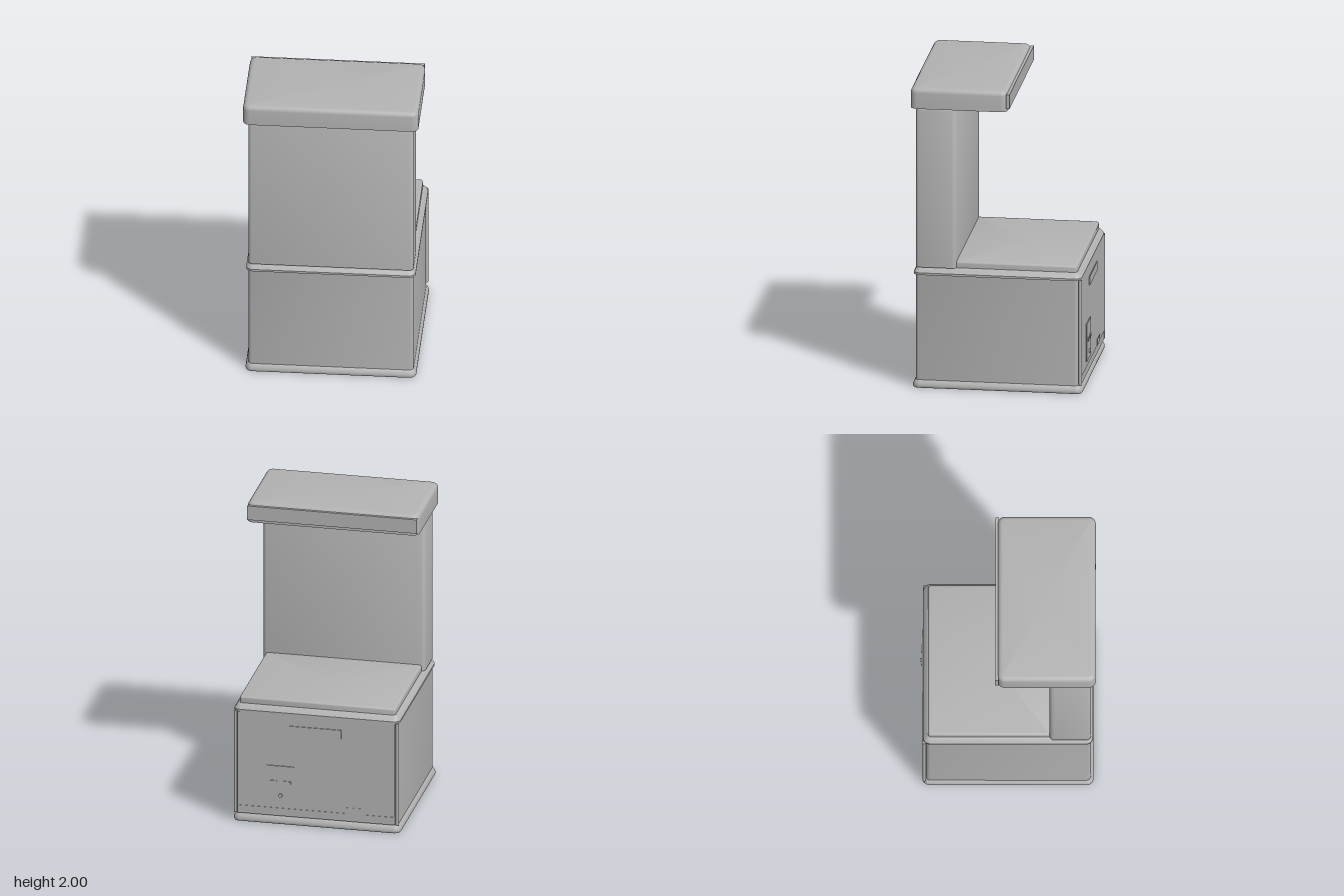
import * as THREE from 'three';
import { toCreasedNormals } from 'three/addons/utils/BufferGeometryUtils.js';

const grey = new THREE.MeshStandardMaterial({ color: 0xb3b3b3 });
grey.name = 'grey';

// Rounded rectangle outline, counter-clockwise seen from above
function outline(x, z0, z1, r, inset) {
  const hx = x - inset, hz = (z1 - z0) / 2 - inset, cz = (z0 + z1) / 2;
  const rr = Math.max(r - inset, 0.003), pts = [], n = 5;
  [[1, 1], [1, -1], [-1, -1], [-1, 1]].forEach(([sx, sz], q) => {
    for (let i = 0; i <= n; i++) {
      const a = Math.PI / 2 - (q + i / n) * Math.PI / 2;
      pts.push([sx * (hx - rr) + rr * Math.cos(a), cz + sz * (hz - rr) + rr * Math.sin(a)]);
    }
  });
  return pts;
}

// Block built from stacked outlines; profile is a list of [y, inset]
function block(x, z0, z1, r, profile) {
  const rings = profile.map(([y, inset]) => outline(x, z0, z1, r, inset).map(([px, pz]) => [px, y, pz]));
  const n = rings[0].length, pos = [], cz = (z0 + z1) / 2;
  const tri = (...c) => c.forEach(p => pos.push(...p));
  const last = rings.length - 1;
  for (let i = 0; i < n; i++) {
    const j = (i + 1) % n;
    for (let k = 0; k < last; k++) {
      const a = rings[k][i], b = rings[k][j], c = rings[k + 1][j], d = rings[k + 1][i];
      tri(a, b, c);
      tri(a, c, d);
    }
    tri([0, profile[last][0], cz], rings[last][i], rings[last][j]);
    tri([0, profile[0][0], cz], rings[0][j], rings[0][i]);
  }
  const g = new THREE.BufferGeometry();
  g.setAttribute('position', new THREE.Float32BufferAttribute(pos, 3));
  g.computeVertexNormals();
  return toCreasedNormals(g, 0.6);
}

// Straight sides ending in a rounded top edge
function roundTop(y0, y1, r) {
  const p = [[y0, 0]];
  for (let i = 0; i <= 5; i++) {
    const a = i / 5 * Math.PI / 2;
    p.push([y1 - r + r * Math.sin(a), r * (1 - Math.cos(a))]);
  }
  return p;
}

export function createModel() {
  const model = new THREE.Group();
  const add = (name, geometry, x = 0, y = 0, z = 0) => {
    const m = new THREE.Mesh(geometry, grey);
    m.name = name;
    m.position.set(x, y, z);
    model.add(m);
    return m;
  };
  // Plate given by its limits
  const plate = (name, x0, x1, y0, y1, z0, z1) =>
    add(name, new THREE.BoxGeometry(x1 - x0, y1 - y0, z1 - z0), (x0 + x1) / 2, (y0 + y1) / 2, (z0 + z1) / 2);

  // Lower cabinet with its two mouldings
  add('baseMoulding', block(0.547, -0.547, 0.547, 0.045,
    [[0, 0.004], [0.006, 0], [0.018, 0], [0.032, 0.005], [0.045, 0.014], [0.055, 0.026]]));
  add('cabinet', block(0.53, -0.525, 0.53, 0.03, [[0.05, 0], [0.76, 0]]));
  add('middleMoulding', block(0.543, -0.543, 0.543, 0.045,
    [[0.752, 0], [0.766, 0], [0.78, 0.01], [0.792, 0.021], [0.798, 0.028], [0.802, 0.037]]));

  // Raised lid, upright and overhanging canopy
  add('lid', block(0.51, -0.512, 0.28, 0.02, roundTop(0.8, 0.843, 0.014)));
  add('upright', block(0.53, 0.265, 0.53, 0.03, roundTop(0.8, 1.865, 0.025)));
  add('canopy', block(0.562, -0.067, 0.56, 0.045, roundTop(1.865, 2, 0.032)));
  plate('canopyRearPanel', -0.555, 0.555, 1.886, 1.981, -0.082, -0.06);

  // Rear door, with a rod along each side
  plate('rearDoor', -0.515, 0.515, 0.11, 0.752, -0.543, -0.52);
  plate('kickStrip', -0.515, 0.515, 0.055, 0.108, -0.541, -0.52);
  plate('doorTab', -0.31, -0.185, 0.108, 0.15, -0.545, -0.54);
  for (const s of [-1, 1])
    add('sideRod', new THREE.CylinderGeometry(0.011, 0.011, 0.7, 16), s * 0.53, 0.406, -0.535);

  // Handle and control plate on the door
  plate('doorHandle', -0.165, 0.175, 0.62, 0.68, -0.549, -0.54);
  plate('controlPlate', 0.145, 0.325, 0.15, 0.4, -0.55, -0.541);
  for (const x of [0.188, 0.277])
    plate('slot', x - 0.023, x + 0.023, 0.28, 0.3, -0.556, -0.545);
  const knob = add('knob', new THREE.CylinderGeometry(0.013, 0.013, 0.02, 20), 0.232, 0.2, -0.552);
  knob.rotation.x = Math.PI / 2;

  return model;
}
